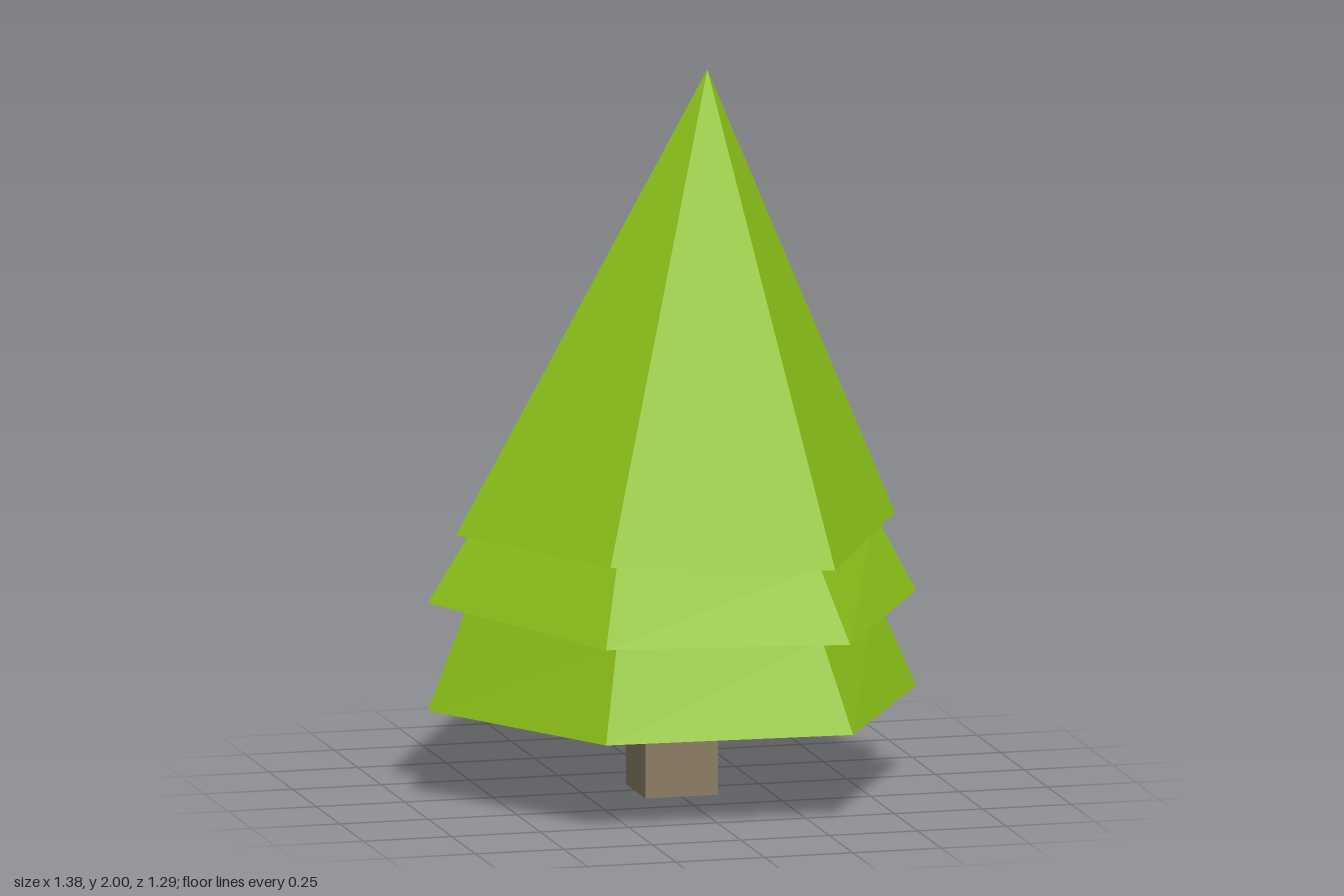
import * as THREE from 'three';

const AXIS_Z = 0.02; // the trunk and the rings share this centre line

// Tier rims, counter-clockwise from above:
// right, back right, back left, left, front left, front right
const RIMS = [
  [[0.69, 0.255, 0.02], [0.345, 0.255, -0.535], [-0.345, 0.255, -0.645],
    [-0.69, 0.255, 0.02], [-0.345, 0.255, 0.615], [0.345, 0.255, 0.645]],
  [[0.69, 0.52, 0.02], [0.345, 0.475, -0.535], [-0.345, 0.52, -0.575],
    [-0.69, 0.555, 0.02], [-0.345, 0.52, 0.615], [0.345, 0.5, 0.615]],
  [[0.63, 0.74, 0.02], [0.315, 0.7, -0.525], [-0.32, 0.74, -0.525],
    [-0.61, 0.74, 0.02], [-0.32, 0.74, 0.57], [0.315, 0.7, 0.57]],
].map(rim => rim.map(p => new THREE.Vector3(...p)));

// Ring collapsed to one point
const point = (x, y, z) => Array.from({ length: 6 }, () => new THREE.Vector3(x, y, z));

// Narrow top of a tier, meeting the underside of the tier above
const neck = (rim, above) => rim.map((p, i) => new THREE.Vector3(
  p.x * 0.83, above[i].y, AXIS_Z + (p.z - AXIS_Z) * 0.83));

// Skin through a stack of rings, listed from bottom to top
function loft(rings) {
  const verts = [];
  const tri = (a, b, c) => {
    if (a.equals(b) || b.equals(c) || a.equals(c)) return;
    for (const p of [a, b, c]) verts.push(p.x, p.y, p.z);
  };
  for (let r = 0; r < rings.length - 1; r++) {
    const lo = rings[r], hi = rings[r + 1];
    for (let i = 0; i < 6; i++) {
      const j = (i + 1) % 6;
      tri(lo[i], lo[j], hi[j]);
      tri(lo[i], hi[j], hi[i]);
    }
  }
  const geometry = new THREE.BufferGeometry();
  geometry.setAttribute('position', new THREE.Float32BufferAttribute(verts, 3));
  geometry.computeVertexNormals();
  return geometry;
}

export function createModel() {
  const group = new THREE.Group();
  group.name = 'tree';

  // Three stepped tiers of foliage with a leaning tip
  const rings = [point(0, 0.255, AXIS_Z)];
  RIMS.forEach((rim, i) => {
    rings.push(rim);
    if (i < RIMS.length - 1) rings.push(neck(rim, RIMS[i + 1]));
  });
  rings.push(point(0.1, 2, AXIS_Z));
  const foliage = new THREE.Mesh(loft(rings),
    new THREE.MeshStandardMaterial({ color: 0x8ec31a, flatShading: true }));
  foliage.name = 'foliage';
  group.add(foliage);

  // Square trunk
  const trunk = new THREE.Mesh(new THREE.BoxGeometry(0.205, 0.255, 0.205),
    new THREE.MeshStandardMaterial({ color: 0x8b7d65, flatShading: true }));
  trunk.name = 'trunk';
  trunk.position.set(0, 0.1275, AXIS_Z);
  group.add(trunk);

  return group;
}
